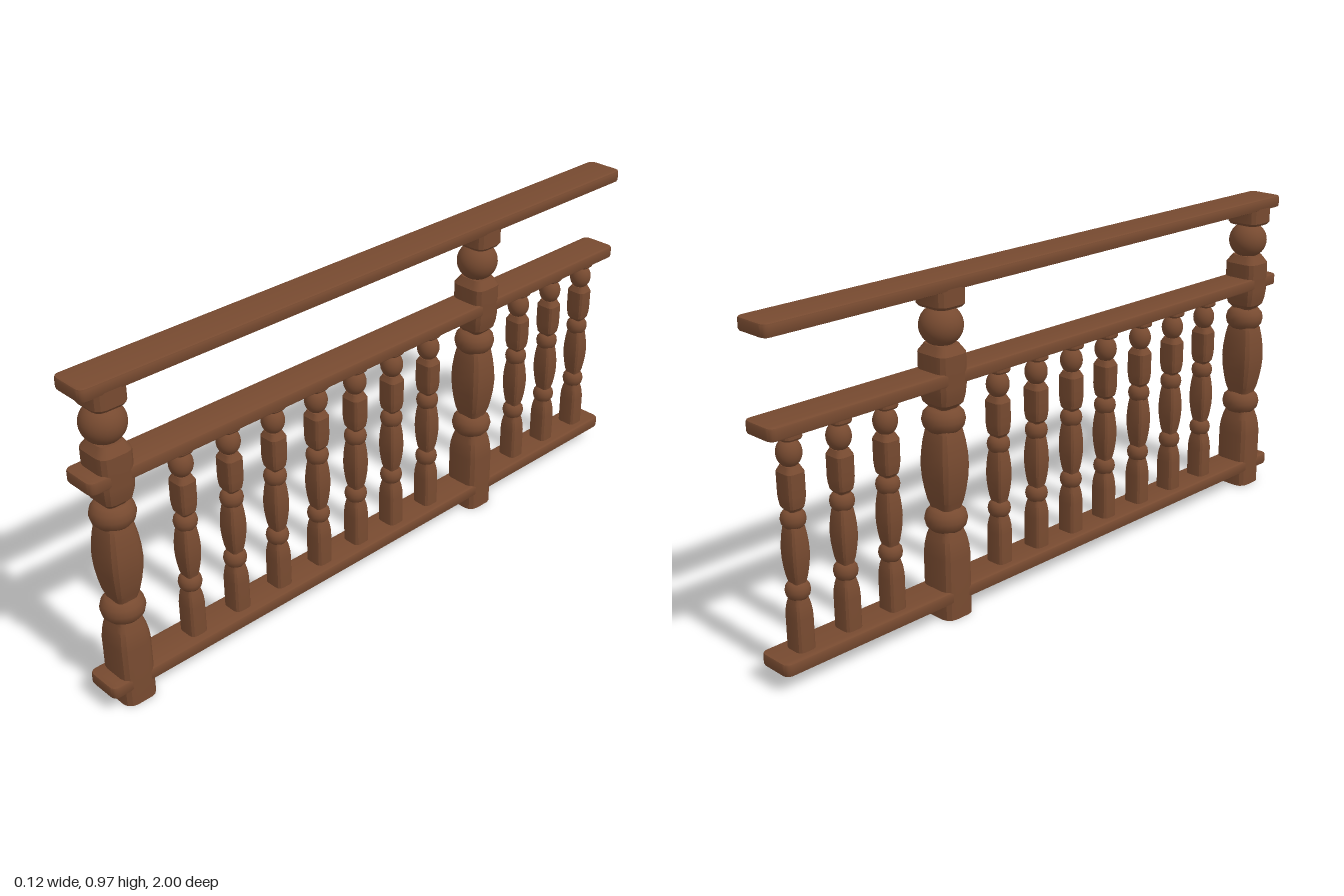
import * as THREE from 'three';
import { mergeVertices, toCreasedNormals } from 'three/addons/utils/BufferGeometryUtils.js';

const wood = new THREE.MeshStandardMaterial({ color: 0x774a30 });
wood.name = 'brown wood';

// Outline of a rectangular block with softened corners, scaled by s
function section(s) {
  const hx = 0.058, hz = 0.05, r = 0.028, pts = [];
  for (let q = 0; q < 4; q++) {
    const cx = (q === 0 || q === 3 ? 1 : -1) * (hx - r);
    const cz = (q < 2 ? 1 : -1) * (hz - r);
    for (let k = 0; k <= 3; k++) {
      const a = (q + k / 3) * Math.PI / 2;
      pts.push([(cx + r * Math.cos(a)) * s, (cz + r * Math.sin(a)) * s]);
    }
  }
  return pts;
}

// Closed solid through [height, scale] stations
function loft(stations) {
  const pos = [], index = [], n = 16, m = stations.length;
  for (const [y, s] of stations) for (const [x, z] of section(s)) pos.push(x, y, z);
  for (let i = 0; i < m - 1; i++) for (let j = 0; j < n; j++) {
    const a = i * n + j, b = i * n + (j + 1) % n;
    index.push(a, a + n, b, b, a + n, b + n);
  }
  const top = (m - 1) * n;
  for (let j = 1; j < n - 1; j++) {
    index.push(0, j, j + 1);
    index.push(top, top + j + 1, top + j);
  }
  const g = new THREE.BufferGeometry();
  g.setAttribute('position', new THREE.Float32BufferAttribute(pos, 3));
  g.setIndex(index);
  return toCreasedNormals(mergeVertices(g), 0.5);
}

// Turned bead with a flat-ish top and bottom
function bead(y) {
  const g = new THREE.TorusGeometry(0.028, 0.032, 12, 28);
  g.rotateX(Math.PI / 2);
  g.scale(1, 1.12, 1);
  g.translate(0, y, 0);
  return g;
}

const ball = new THREE.SphereGeometry(0.06, 28, 18);
ball.scale(1, 0.96, 1);
ball.translate(0, 0.832, 0);

// One turned post; the balusters are smaller copies
const postParts = {
  base: loft([[0, 1], [0.18, 1], [0.205, 0.96], [0.23, 0.87], [0.248, 0.76], [0.28, 0.6]]),
  lowerBead: bead(0.285),
  vase: loft([[0.29, 0.55], [0.318, 0.64], [0.34, 0.78], [0.37, 0.89], [0.405, 0.98], [0.44, 1.02],
    [0.475, 0.99], [0.51, 0.91], [0.54, 0.8], [0.57, 0.6]]),
  upperBead: bead(0.573),
  block: loft([[0.59, 0.5], [0.608, 0.6], [0.622, 0.85], [0.645, 0.95], [0.67, 1], [0.76, 1], [0.784, 0.7]]),
  ball,
  cap: loft([[0.885, 0.9], [0.893, 1], [0.94, 1]]),
};

function createPost(name) {
  const post = new THREE.Group();
  post.name = name;
  for (const [part, geometry] of Object.entries(postParts)) {
    const mesh = new THREE.Mesh(geometry, wood);
    mesh.name = part;
    post.add(mesh);
  }
  return post;
}

// Long board with rounded corners and eased edges
function createRail(name, y, height, halfWidth) {
  const e = 0.006, w = halfWidth - e, l = 1 - e, r = 0.016;
  const s = new THREE.Shape();
  s.moveTo(-w + r, -l);
  s.lineTo(w - r, -l);
  s.quadraticCurveTo(w, -l, w, -l + r);
  s.lineTo(w, l - r);
  s.quadraticCurveTo(w, l, w - r, l);
  s.lineTo(-w + r, l);
  s.quadraticCurveTo(-w, l, -w, l - r);
  s.lineTo(-w, -l + r);
  s.quadraticCurveTo(-w, -l, -w + r, -l);
  const g = new THREE.ExtrudeGeometry(s, {
    depth: height - 2 * e, bevelEnabled: true, bevelSize: e, bevelThickness: e, bevelSegments: 2, curveSegments: 5,
  });
  g.rotateX(-Math.PI / 2);
  g.translate(0, y + e, 0);
  const rail = new THREE.Mesh(toCreasedNormals(g, 0.6), wood);
  rail.name = name;
  return rail;
}

export function createModel() {
  const model = new THREE.Group();
  model.name = 'balustrade';

  // Rails
  model.add(createRail('bottomRail', 0.05, 0.036, 0.056));
  model.add(createRail('middleRail', 0.678, 0.036, 0.056));
  model.add(createRail('handRail', 0.934, 0.036, 0.058));

  // Main posts
  [0.91, -0.411].forEach((z) => {
    const post = createPost('post');
    post.position.z = z;
    model.add(post);
  });

  // Balusters between the lower rails
  [0.695, 0.54, 0.387, 0.232, 0.085, -0.06, -0.21, -0.61, -0.76, -0.912].forEach((z) => {
    const baluster = createPost('baluster');
    baluster.scale.set(0.55, 0.676, 0.55);
    baluster.position.set(0, 0.057, z);
    model.add(baluster);
  });
  return model;
}
